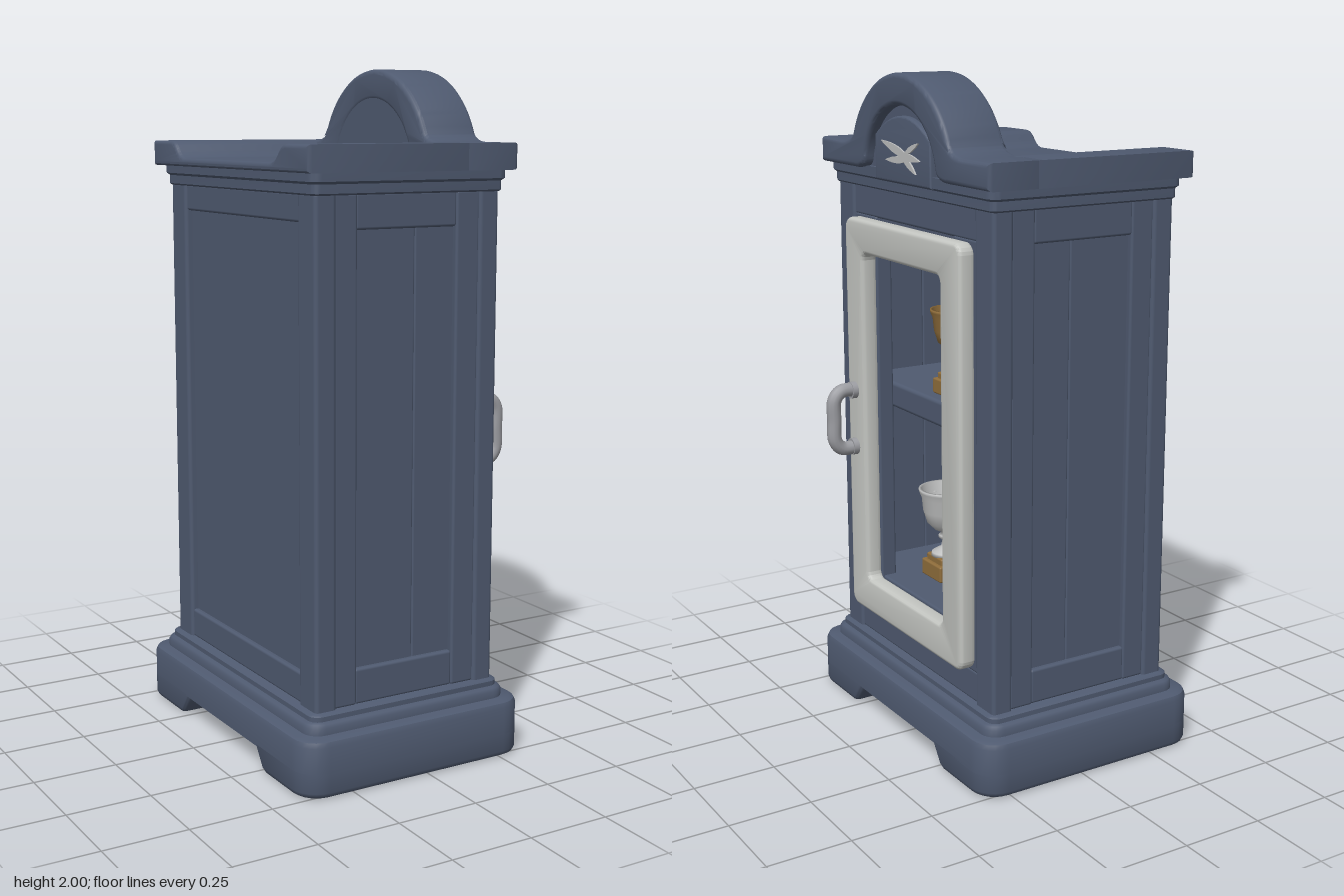
import * as THREE from 'three';
import { toCreasedNormals } from 'three/addons/utils/BufferGeometryUtils.js';
import { RoundedBoxGeometry } from 'three/addons/geometries/RoundedBoxGeometry.js';

const material = (name, color) => Object.assign(new THREE.MeshStandardMaterial({ color }), { name });

export function createModel() {
  const blue = material('blue painted wood', 0x4f5a70);
  const white = material('white door paint', 0xc4c6c2);
  const steel = material('grey metal', 0x9c9da2);
  const silver = material('silver', 0xbdbebe);
  const gold = material('gold', 0x8f6d3b);
  const bronze = material('bronze', 0x705440);

  const model = new THREE.Group();
  model.name = 'trophyCabinet';
  const cabinet = new THREE.Group(); // built with the door towards +z, then turned to +x
  cabinet.name = 'cabinet';
  cabinet.rotation.y = Math.PI / 2;
  model.add(cabinet);

  const add = (name, geometry, mat, parent = cabinet) => {
    const mesh = new THREE.Mesh(geometry, mat);
    mesh.name = name;
    parent.add(mesh);
    return mesh;
  };
  const box = (name, mat, x0, x1, y0, y1, z0, z1, r = 0.008, parent = cabinet) => {
    const mesh = add(name, new RoundedBoxGeometry(x1 - x0, y1 - y0, z1 - z0, 2, r), mat, parent);
    mesh.position.set((x0 + x1) / 2, (y0 + y1) / 2, (z0 + z1) / 2);
    return mesh;
  };
  const extrude = (name, shape, mat, z0, z1, bevel = 0.012) => {
    const geometry = new THREE.ExtrudeGeometry(shape, {
      depth: z1 - z0 - 2 * bevel, curveSegments: 24, bevelEnabled: bevel > 0,
      bevelSize: bevel, bevelThickness: bevel, bevelOffset: -bevel, bevelSegments: 3,
    });
    const mesh = add(name, toCreasedNormals(geometry, 0.7), mat);
    mesh.position.z = z0 + bevel;
    return mesh;
  };

  // Slab with rounded plan corners; profile is a list of [height, inset]
  const slab = (name, x0, x1, z0, z1, rLeft, rRight, profile, warp) => {
    const steps = 6, n = 4 * (steps + 1), pos = [], index = [];
    const corners = [[x1, z1, rRight], [x0, z1, rLeft], [x0, z0, rLeft], [x1, z0, rRight]];
    for (const [y, inset] of profile) {
      corners.forEach(([x, z, r], k) => {
        const cx = x + (x === x1 ? -r : r), cz = z + (z === z1 ? -r : r);
        for (let i = 0; i <= steps; i++) {
          const a = (k + i / steps) * Math.PI / 2;
          pos.push(cx + (r - inset) * Math.cos(a), y, cz + (r - inset) * Math.sin(a));
        }
      });
    }
    const last = (profile.length - 1) * n, cap = profile.length * n;
    for (const y of [profile[0][0], profile.at(-1)[0]]) pos.push((x0 + x1) / 2, y, (z0 + z1) / 2);
    for (let i = 0; i < n; i++) {
      const j = (i + 1) % n;
      for (let o = 0; o < last; o += n) index.push(o + i, o + n + i, o + j, o + j, o + n + i, o + n + j);
      index.push(cap, i, j, cap + 1, last + j, last + i);
    }
    if (warp) for (let i = 0; i < pos.length; i += 3) pos[i] = warp(pos[i], pos[i + 1]);
    const geometry = new THREE.BufferGeometry();
    geometry.setAttribute('position', new THREE.Float32BufferAttribute(pos, 3));
    geometry.setIndex(index);
    return add(name, toCreasedNormals(geometry, 0.7), blue);
  };

  // Plinth: two feet with sloping inner sides, a slab and stepped mouldings
  const footProfile = [[0, 0.015], [0.006, 0.005], [0.018, 0], [0.075, 0]];
  const slope = (x, y) => (Math.abs(x) < 0.35 ? x - Math.sign(x) * 0.05 * y / 0.07 : x);
  slab('leftFoot', 0.27, 0.525, -0.41, 0.34, 0.02, 0.08, footProfile, slope);
  slab('rightFoot', -0.525, -0.27, -0.41, 0.34, 0.08, 0.02, footProfile, slope);
  slab('plinth', -0.525, 0.525, -0.41, 0.34, 0.08, 0.08, [[0.07, 0], [0.15, 0], [0.164, 0.006], [0.17, 0.02]]);
  slab('lowerMoulding', -0.485, 0.485, -0.37, 0.3, 0.05, 0.05,
    [[0.165, 0], [0.19, 0], [0.199, 0.006], [0.203, 0.018], [0.217, 0.018], [0.222, 0.024]]);
  slab('upperMoulding', -0.468, 0.468, -0.35, 0.284, 0.03, 0.03,
    [[1.655, 0.016], [1.66, 0.01], [1.685, 0.01], [1.692, 0], [1.722, 0]]);

  // Carcass: floor, ceiling, shelf and back
  box('cabinetFloor', blue, -0.41, 0.41, 0.2, 0.43, -0.3, 0.25);
  box('cabinetCeiling', blue, -0.41, 0.41, 1.48, 1.67, -0.3, 0.25);
  box('shelf', blue, -0.41, 0.41, 0.97, 1.05, -0.3, 0.2, 0.012);
  box('backPanel', blue, -0.42, 0.42, 0.22, 1.66, -0.31, -0.28);
  box('backBottomRail', blue, -0.36, 0.36, 0.22, 0.31, -0.325, -0.29);
  box('backTopRail', blue, -0.36, 0.36, 1.58, 1.66, -0.325, -0.29);
  box('frontBottomRail', blue, -0.36, 0.36, 0.22, 0.315, 0.22, 0.258);
  box('frontTopRail', blue, -0.36, 0.36, 1.565, 1.66, 0.22, 0.258);

  // Sides: corner posts, framed plank panels and the stiles behind the door
  for (const s of [-1, 1]) {
    const side = s < 0 ? 'right' : 'left';
    const sideBox = (name, a, b, ...rest) => box(side + name, blue, Math.min(s * a, s * b), Math.max(s * a, s * b), ...rest);
    sideBox('FrontPost', 0.35, 0.448, 0.21, 1.665, 0.2, 0.266, 0.012);
    sideBox('BackPost', 0.35, 0.448, 0.21, 1.665, -0.333, -0.265, 0.012);
    sideBox('FrontStile', 0.4, 0.44, 0.22, 1.66, 0.127, 0.205);
    sideBox('BackStile', 0.4, 0.44, 0.22, 1.66, -0.27, -0.195);
    sideBox('BottomRail', 0.4, 0.437, 0.22, 0.325, -0.2, 0.13);
    sideBox('TopRail', 0.4, 0.437, 1.56, 1.66, -0.2, 0.13);
    sideBox('BackPlank', 0.4, 0.422, 0.31, 1.57, -0.205, 0, 0.005);
    sideBox('FrontPlank', 0.4, 0.422, 0.31, 1.57, 0.001, 0.135, 0.005);
    sideBox('DoorStile', 0.226, 0.36, 0.31, 1.57, 0.205, 0.258);
  }

  // Roof with a sunken middle
  const roof = new THREE.Shape();
  roof.moveTo(-0.485, 1.715);
  roof.lineTo(0.485, 1.715);
  roof.lineTo(0.485, 1.79);
  roof.lineTo(0.36, 1.79);
  roof.bezierCurveTo(0.315, 1.79, 0.32, 1.74, 0.265, 1.74);
  roof.lineTo(-0.265, 1.74);
  roof.bezierCurveTo(-0.32, 1.74, -0.315, 1.79, -0.36, 1.79);
  roof.lineTo(-0.485, 1.79);
  extrude('roof', roof, blue, -0.375, 0.16, 0.012);

  // Arched cornice above the door
  const arch = new THREE.Shape();
  arch.moveTo(0.485, 1.715);
  arch.lineTo(0.485, 1.79);
  arch.lineTo(0.36, 1.79);
  arch.quadraticCurveTo(0.288, 1.79, 0.275, 1.82);
  arch.absarc(0, 1.7, 0.3, 0.41, Math.PI - 0.41, false);
  arch.quadraticCurveTo(-0.288, 1.79, -0.36, 1.79);
  arch.lineTo(-0.485, 1.79);
  arch.lineTo(-0.485, 1.715);
  arch.lineTo(-0.27, 1.715);
  arch.quadraticCurveTo(-0.215, 1.715, -0.206, 1.742);
  arch.absarc(0, 1.7, 0.21, Math.PI - 0.2, 0.2, true);
  arch.quadraticCurveTo(0.215, 1.715, 0.27, 1.715);
  extrude('archedCornice', arch, blue, 0.12, 0.305, 0.014);
  const tympanum = new THREE.Shape();
  tympanum.absarc(0, 1.69, 0.235, 0, Math.PI, false);
  extrude('tympanum', tympanum, blue, 0.122, 0.272, 0);

  // Plaque with a plain leaf ornament
  const plaque = new THREE.Shape();
  plaque.moveTo(-0.16, 1.69);
  plaque.lineTo(0.16, 1.69);
  plaque.lineTo(0.16, 1.82);
  plaque.quadraticCurveTo(0, 1.94, -0.16, 1.82);
  extrude('plaque', plaque, blue, 0.255, 0.291, 0.006);
  const leaf = (x, y, length, width, angle) => {
    const shape = new THREE.Shape();
    shape.moveTo(0, 0);
    shape.quadraticCurveTo(length * 0.4, -width, length, 0);
    shape.quadraticCurveTo(length * 0.4, width, 0, 0);
    const mesh = extrude('ornamentLeaf', shape, silver, 0.289, 0.296, 0);
    mesh.position.x = x;
    mesh.position.y = y;
    mesh.rotation.z = angle;
  };
  leaf(0.05, 1.765, 0.17, 0.024, 2.9);
  leaf(0.04, 1.76, 0.13, 0.02, 3.2);
  leaf(-0.03, 1.775, 0.14, 0.022, -0.1);
  leaf(0.0, 1.775, 0.1, 0.02, -0.55);
  leaf(0.02, 1.775, 0.09, 0.016, 0.42);

  // Door frame and handle
  const roundRect = (path, w, y0, y1, r) => {
    path.moveTo(w - r, y0);
    path.absarc(w - r, y0 + r, r, -Math.PI / 2, 0, false);
    path.absarc(w - r, y1 - r, r, 0, Math.PI / 2, false);
    path.absarc(-w + r, y1 - r, r, Math.PI / 2, Math.PI, false);
    path.absarc(-w + r, y0 + r, r, Math.PI, Math.PI * 1.5, false);
    return path;
  };
  const door = roundRect(new THREE.Shape(), 0.338, 0.32, 1.562, 0.035);
  door.holes.push(roundRect(new THREE.Path(), 0.228, 0.43, 1.46, 0.022));
  extrude('doorFrame', door, white, 0.255, 0.306, 0.012);
  const grip = new THREE.CatmullRomCurve3([[0.85, 0.29], [0.85, 0.355], [0.875, 0.378], [0.94, 0.38],
    [1.005, 0.378], [1.03, 0.355], [1.03, 0.29]].map(([y, z]) => new THREE.Vector3(-0.29, y, z)));
  add('doorHandle', new THREE.TubeGeometry(grip, 40, 0.022, 12), steel);
  for (const y of [0.85, 1.03]) {
    const collar = add('handleCollar', new THREE.CylinderGeometry(0.026, 0.026, 0.02, 16), steel);
    collar.rotation.x = Math.PI / 2;
    collar.position.set(-0.29, y, 0.314);
  }

  // Trophies: stepped base, turned cup and two ear handles, at unit height
  const cup = new THREE.LatheGeometry([[0.001, 0.24], [0.17, 0.24], [0.16, 0.28], [0.06, 0.34], [0.045, 0.41], [0.085, 0.44],
    [0.085, 0.47], [0.05, 0.5], [0.13, 0.54], [0.21, 0.62], [0.25, 0.75], [0.265, 0.9], [0.295, 0.97], [0.295, 1],
    [0.265, 1], [0.23, 0.8], [0.15, 0.62], [0.001, 0.58]].map(([x, y]) => new THREE.Vector2(x, y)), 24);
  const ear = new THREE.TubeGeometry(new THREE.CatmullRomCurve3([[0.25, 0.87], [0.35, 0.92], [0.43, 0.85],
    [0.4, 0.72], [0.29, 0.64], [0.2, 0.64]].map(([x, y]) => new THREE.Vector3(x, y, 0))), 20, 0.028, 8);
  const trophy = (x, y, z, height, cupMat, earMat) => {
    const group = new THREE.Group();
    group.name = 'trophy';
    group.position.set(x, y, z);
    group.scale.setScalar(height);
    cabinet.add(group);
    box('trophyBase', gold, -0.2, 0.2, 0, 0.18, -0.2, 0.2, 0.02, group);
    box('trophyStep', gold, -0.16, 0.16, 0.16, 0.25, -0.16, 0.16, 0.02, group);
    add('trophyCup', cup, cupMat, group);
    add('trophyEar', ear, earMat, group);
    add('trophyEar', ear, earMat, group).rotation.y = Math.PI;
  };
  trophy(-0.13, 1.05, -0.06, 0.34, bronze, gold);
  trophy(-0.01, 1.05, 0.11, 0.26, gold, gold);
  trophy(0.165, 1.05, -0.06, 0.34, gold, gold);
  trophy(-0.125, 0.43, 0.08, 0.29, silver, silver);
  trophy(0.02, 0.43, -0.12, 0.335, bronze, gold);
  trophy(0.16, 0.43, 0.08, 0.29, bronze, gold);

  return model;
}
